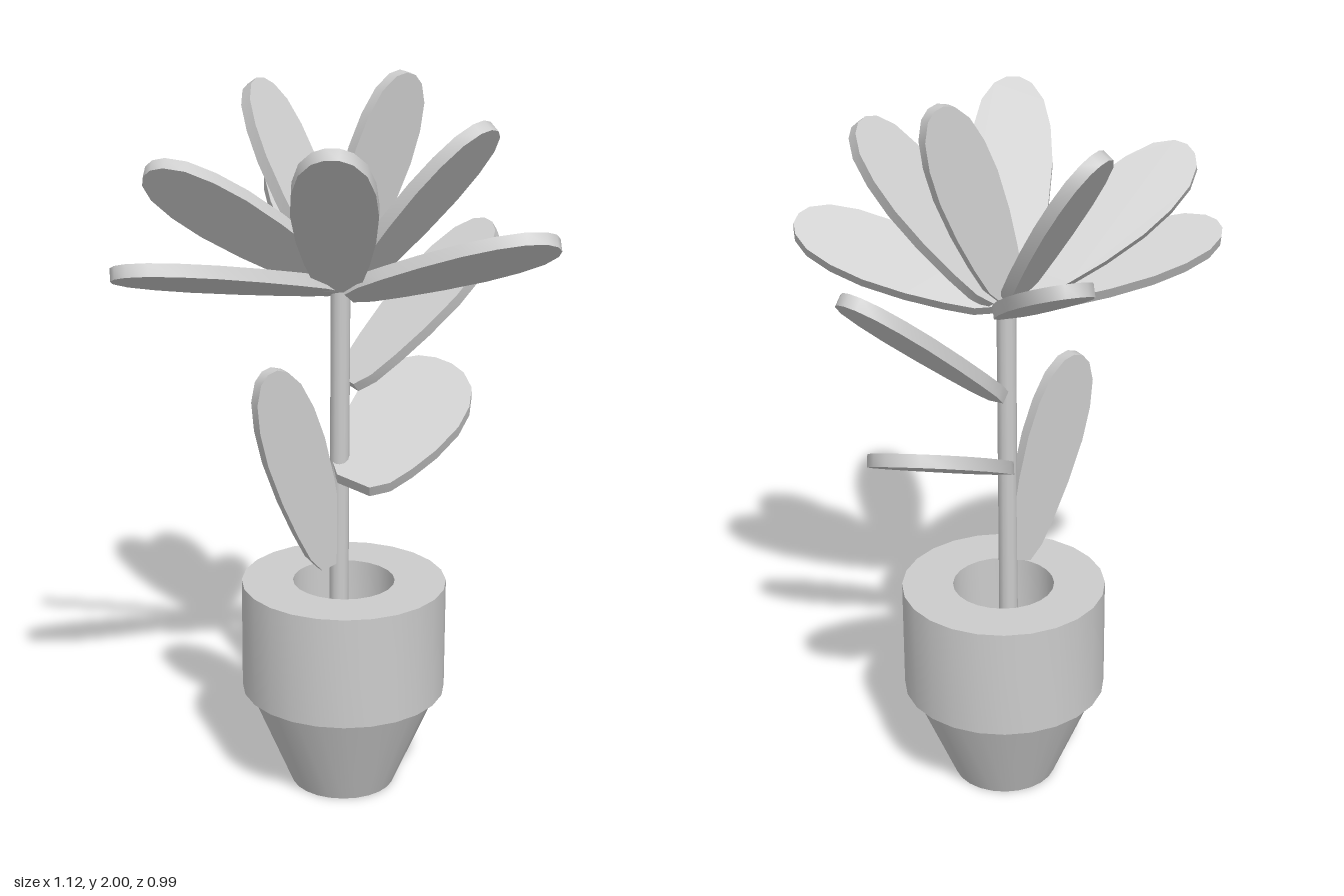
import * as THREE from 'three';
import { toCreasedNormals } from 'three/addons/utils/BufferGeometryUtils.js';

const V = (p) => new THREE.Vector3(...p);
const material = new THREE.MeshStandardMaterial({ color: 0xcccccc });
const THICKNESS = 0.035;

// Half-outline of a leaf: [half-width, position along the length], both 0..1
const PROFILE = [[0.32, 0], [0.58, 0.08], [0.76, 0.22], [0.92, 0.4], [1, 0.6],
  [0.94, 0.76], [0.76, 0.89], [0.46, 0.97], [0.16, 1]];

// Flat oval leaf from base to tip; up is the approximate direction of its upper face
function leaf(name, base, tip, width, up) {
  const start = V(base);
  const along = V(tip).sub(start);
  const length = along.length();
  along.normalize();
  const normal = V(up);
  normal.addScaledVector(along, -normal.dot(along)).normalize();
  const across = new THREE.Vector3().crossVectors(along, normal);

  const right = PROFILE.map(([w, t]) => new THREE.Vector2(w * width / 2, t * length));
  const left = right.map((p) => new THREE.Vector2(-p.x, p.y)).reverse();
  const geo = new THREE.ExtrudeGeometry(new THREE.Shape([...right, ...left]),
    { depth: THICKNESS, bevelEnabled: false });
  geo.translate(0, 0, -THICKNESS / 2);
  geo.applyMatrix4(new THREE.Matrix4().makeBasis(across, along, normal).setPosition(start));
  const mesh = new THREE.Mesh(toCreasedNormals(geo, 0.7), material);
  mesh.name = name;
  return mesh;
}

export function createModel() {
  const plant = new THREE.Group();
  plant.name = 'pottedPlant';

  // Pot: tapered foot, straight collar and a round hole in the top
  const potProfile = [[0, 0], [0.143, 0], [0.263, 0.285], [0.281, 0.285], [0.281, 0.6],
    [0.14, 0.6], [0.14, 0.35], [0, 0.35]].map(([r, y]) => new THREE.Vector2(r, y));
  const pot = new THREE.Mesh(
    toCreasedNormals(new THREE.LatheGeometry(potProfile, 24), 0.5), material);
  pot.name = 'pot';
  pot.position.set(0.085, 0, 0.04);
  plant.add(pot);

  // Stem
  const stem = new THREE.Mesh(new THREE.CylinderGeometry(0.026, 0.026, 1.11, 12), material);
  stem.name = 'stem';
  stem.position.set(0.064, 0.9, 0.05);
  plant.add(stem);

  // Crown of leaves fanning out from the top of the stem
  const crown = new THREE.Group();
  crown.name = 'crownLeaves';
  [
    [[0.04, 1.45, 0.08], [-0.19, 1.89, 0.44], 0.22, [0, 1, 0]],
    [[0.08, 1.44, 0.07], [0.33, 1.89, 0.34], 0.2, [0.2, 1, -0.2]],
    [[0.07, 1.43, 0.08], [0.46, 1.6, 0.47], 0.2, [0.45, 1, -0.45]],
    [[0.05, 1.44, 0.05], [-0.56, 1.54, -0.02], 0.19, [0, 1, -0.45]],
    [[0.05, 1.46, 0.04], [-0.44, 1.79, -0.05], 0.2, [0, 1, -0.8]],
    [[0.06, 1.46, 0.02], [0.01, 1.93, -0.31], 0.2, [0.15, 1, 0]],
    [[0.07, 1.46, 0.03], [0.25, 1.99, 0.07], 0.18, [0, 0.1, -1]],
    [[0.07, 1.42, 0.02], [0.2, 1.69, -0.49], 0.2, [0, 1, 0]],
  ].forEach((args, i) => crown.add(leaf(`crownLeaf${i + 1}`, ...args)));
  plant.add(crown);

  // Single leaves lower on the stem
  plant.add(
    leaf('upperStemLeaf', [0.09, 1.17, 0.05], [0.54, 1.55, 0.04], 0.19, [0, 1, 0.2]),
    leaf('middleStemLeaf', [0.06, 0.91, 0.13], [0.47, 1.13, -0.07], 0.31, [0, 1, 0.25]),
    leaf('lowerStemLeaf', [0.03, 0.66, 0.05], [-0.15, 1.24, 0.05], 0.18, [0, 0, 1]),
  );
  return plant;
}
